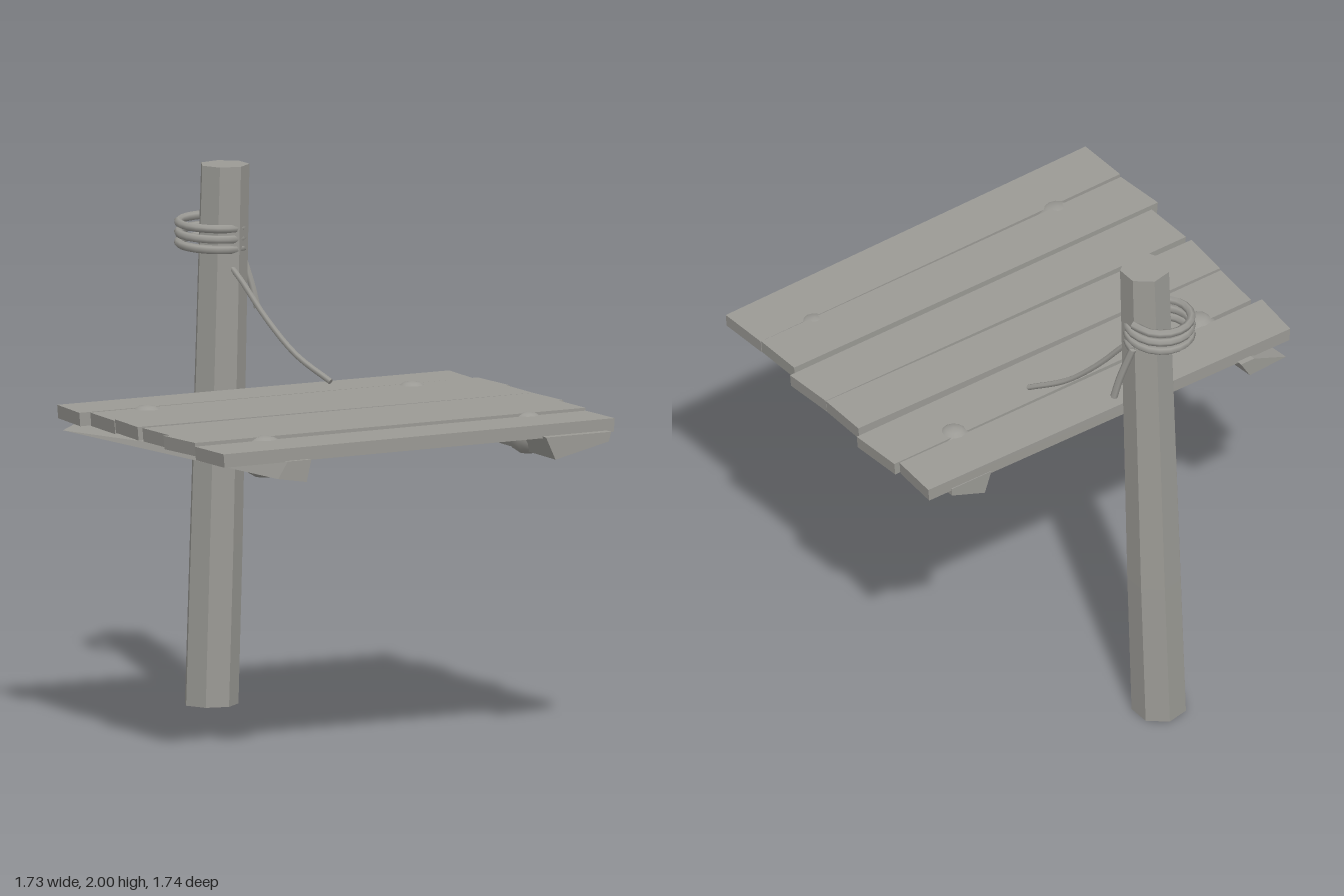
import * as THREE from 'three';
import { ConvexGeometry } from 'three/addons/geometries/ConvexGeometry.js';

const V = (x, y, z) => new THREE.Vector3(x, y, z);

export function createModel() {
  const model = new THREE.Group();
  const wood = new THREE.MeshStandardMaterial({ color: 0x9b9a95 });
  wood.name = 'weathered grey';

  const add = (name, geometry) => {
    const mesh = new THREE.Mesh(geometry, wood);
    mesh.name = name;
    model.add(mesh);
    return mesh;
  };
  const hull = (name, points) => add(name, new ConvexGeometry(points));

  // Mooring post: seven sided, leaning slightly and tapering upwards
  const post = [];
  for (const [y, x, z, r] of [[0, 0, -0.745, 0.102], [0.6, 0.013, -0.733, 0.1], [2, 0.035, -0.705, 0.092]]) {
    for (let i = 0; i < 7; i++) {
      const a = (i / 7) * Math.PI * 2 + 0.2;
      post.push(V(x + r * Math.sin(a), y, z + r * Math.cos(a)));
    }
  }
  hull('post', post);

  // Deck planks: uneven corners (back left, back right, front right, front left) and top height
  const planks = [
    [-0.80, -0.48, 0.845, -0.465, 0.83, -0.27, -0.825, -0.275, 1.205],
    [-0.79, -0.255, 0.85, -0.265, 0.86, -0.05, -0.81, -0.045, 1.206],
    [-0.81, -0.04, 0.83, -0.02, 0.825, 0.183, -0.83, 0.16, 1.212],
    [-0.825, 0.187, 0.825, 0.185, 0.835, 0.388, -0.825, 0.395, 1.212],
    [-0.865, 0.41, 0.80, 0.41, 0.80, 0.61, -0.85, 0.615, 1.217],
    [-0.865, 0.64, 0.795, 0.62, 0.80, 0.825, -0.865, 0.85, 1.208],
  ];
  planks.forEach((p, n) => {
    const points = [];
    for (let i = 0; i < 8; i += 2) {
      points.push(V(p[i], p[8], p[i + 1]), V(p[i] * 0.995, p[8] - 0.05, p[i + 1]));
    }
    hull('plank' + (n + 1), points);
  });

  // Tilted support beams under the deck, from a back and a front section
  const beam = (name, zBack, back, zFront, front) => hull(name, [
    ...back.map(([x, y]) => V(x, y, zBack)),
    ...front.map(([x, y]) => V(x, y, zFront)),
  ]);
  beam('rightBeam',
    -0.5, [[-0.765, 1.105], [-0.62, 1.162], [-0.56, 1.162], [-0.6, 1.095]],
    0.86, [[-0.64, 1.1], [-0.6, 1.162], [-0.5, 1.162], [-0.52, 1.08]]);
  beam('leftBeam',
    -0.47, [[0.74, 1.165], [0.74, 1.135], [0.59, 1.08], [0.56, 1.165]],
    0.86, [[0.765, 1.165], [0.755, 1.13], [0.53, 1.08], [0.49, 1.165]]);

  // Rounded pegs through beams and deck
  for (const [x, z, r] of [[-0.565, -0.23, 0.085], [0.555, -0.235, 0.08], [-0.555, 0.61, 0.095], [0.56, 0.605, 0.08]]) {
    const peg = add('peg', new THREE.SphereGeometry(1, 12, 8));
    peg.scale.set(r, 0.078, r);
    peg.position.set(x, 1.143, z);
  }

  // Rope: three coils round the post, a short hanging end and a long slack end
  const rope = (name, points, steps, r) => {
    const path = new THREE.CatmullRomCurve3(points);
    add(name, new THREE.TubeGeometry(path, steps, r, 6));
    // Closed rope ends
    for (const t of [0, 1]) {
      const cap = add(name + 'End', new THREE.CircleGeometry(r, 6));
      cap.position.copy(path.getPoint(t));
      cap.lookAt(path.getPoint(t).addScaledVector(path.getTangent(t), t ? 1 : -1));
    }
  };
  const coil = [];
  for (let i = 0; i <= 30; i++) {
    const a = (i / 10) * Math.PI * 2 + Math.PI / 2;
    coil.push(V(0.119 * Math.sin(a), 1.8 - 0.0038 * i, -0.745 + 0.119 * Math.cos(a)));
  }
  rope('ropeCoil', coil, 60, 0.016);
  rope('hangingRope', [V(0.12, 1.69, -0.745), V(0.135, 1.62, -0.725), V(0.152, 1.54, -0.705), V(0.165, 1.46, -0.69)], 8, 0.014);
  rope('slackRope', [V(0.02, 1.64, -0.65), V(0.04, 1.59, -0.6), V(0.09, 1.45, -0.49), V(0.145, 1.33, -0.37), V(0.21, 1.245, -0.23)], 14, 0.011);

  return model;
}
